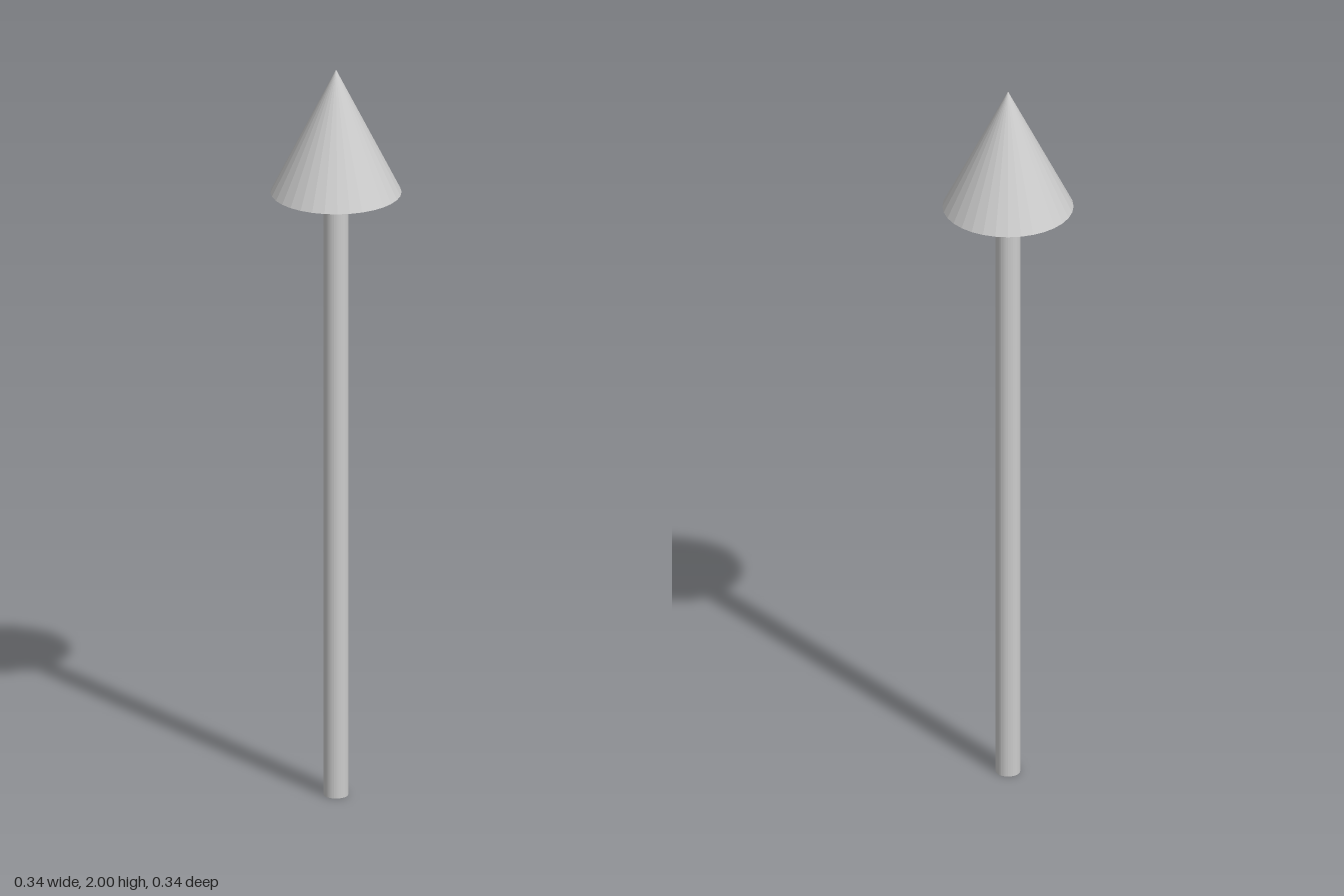
import * as THREE from 'three';

const SIDES = 32;
const HEIGHT = 2;
const HEAD_BASE = 1.662;

export function createModel() {
  const group = new THREE.Group();
  group.name = 'arrow';
  const material = new THREE.MeshStandardMaterial({ color: 0xcccccc, flatShading: true });

  const addPart = (name, geometry, y) => {
    const mesh = new THREE.Mesh(geometry, material);
    mesh.name = name;
    mesh.position.y = y;
    group.add(mesh);
  };

  // Slim round shaft, from the ground to the underside of the head
  addPart('shaft', new THREE.CylinderGeometry(0.032, 0.032, HEAD_BASE, SIDES), HEAD_BASE / 2);

  // Faceted pointed head with a flat underside
  const headHeight = HEIGHT - HEAD_BASE;
  addPart('arrowHead', new THREE.ConeGeometry(0.17, headHeight, SIDES), HEAD_BASE + headHeight / 2);

  return group;
}
